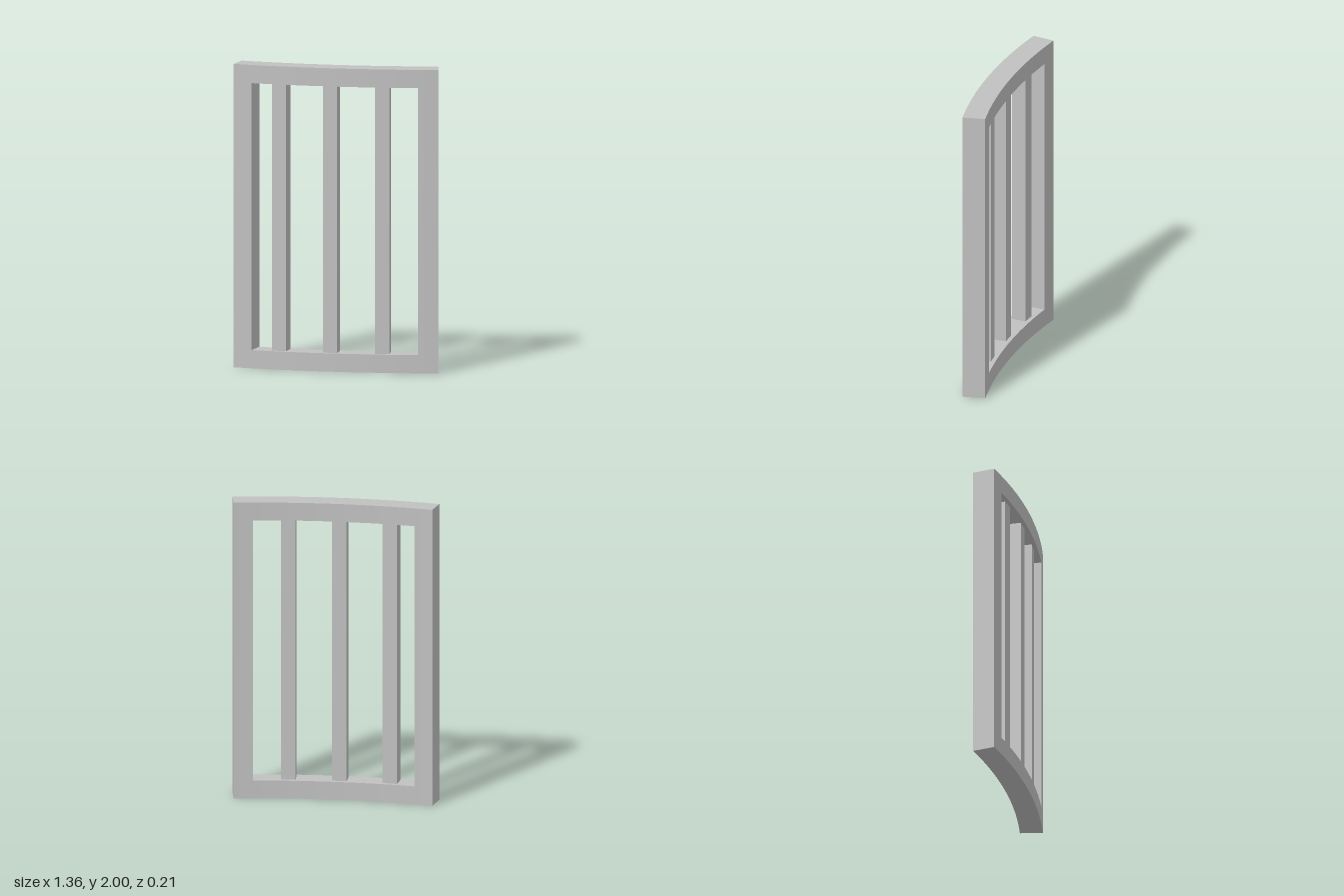
import * as THREE from 'three';

const R_OUT = 3.75, R_IN = 3.6;          // front and back radii of the curved panel
const R_MID = (R_OUT + R_IN) / 2;
const DEPTH = R_OUT - R_IN;
const AXIS_Z = 0.1045 - R_OUT;           // vertical axis of the curve
const HALF = Math.asin(0.68 / R_OUT);    // half the angle the panel spans
const HEIGHT = 2, RAIL = 0.12;

// Box whose width is wrapped around the axis from angle a0 to a1
function curvedBox(a0, a1, y0, y1, segments) {
  const g = new THREE.BoxGeometry(a1 - a0, y1 - y0, DEPTH, segments, 1, 1);
  g.translate((a0 + a1) / 2, (y0 + y1) / 2, R_MID);
  const p = g.attributes.position, n = g.attributes.normal;
  for (let i = 0; i < p.count; i++) {
    const a = p.getX(i), r = p.getZ(i), s = Math.sin(a), c = Math.cos(a);
    const nx = n.getX(i), nz = n.getZ(i);
    p.setXYZ(i, r * s, p.getY(i), AXIS_Z + r * c);
    n.setXYZ(i, nx * c + nz * s, n.getY(i), nz * c - nx * s);
  }
  return g;
}

export function createModel() {
  const model = new THREE.Group();
  model.name = 'curvedBarredPanel';
  const grey = new THREE.MeshStandardMaterial({ color: 0xc0c0c0 });
  grey.name = 'lightGrey';

  const add = (name, geometry) => {
    const mesh = new THREE.Mesh(geometry, grey);
    mesh.name = name;
    model.add(mesh);
    return mesh;
  };

  // Frame: two full-width rails with stiles between them
  const openLeft = 0.147, openRight = -0.1487;
  add('bottomRail', curvedBox(-HALF, HALF, 0, RAIL, 32));
  add('topRail', curvedBox(-HALF, HALF, HEIGHT - RAIL, HEIGHT, 32));
  add('rightStile', curvedBox(-HALF, openRight, RAIL, HEIGHT - RAIL, 4));
  add('leftStile', curvedBox(openLeft, HALF, RAIL, HEIGHT - RAIL, 4));

  // Square bars, each turned to follow the curve
  const barSize = 0.095;
  const barGeometry = new THREE.BoxGeometry(barSize, HEIGHT - 2 * RAIL, barSize);
  [['rightBar', -0.1006], ['middleBar', -0.0085], ['leftBar', 0.0836]].forEach(([name, a]) => {
    const bar = add(name, barGeometry);
    bar.position.set(R_MID * Math.sin(a), HEIGHT / 2, AXIS_Z + R_MID * Math.cos(a));
    bar.rotation.y = a;
  });

  return model;
}
